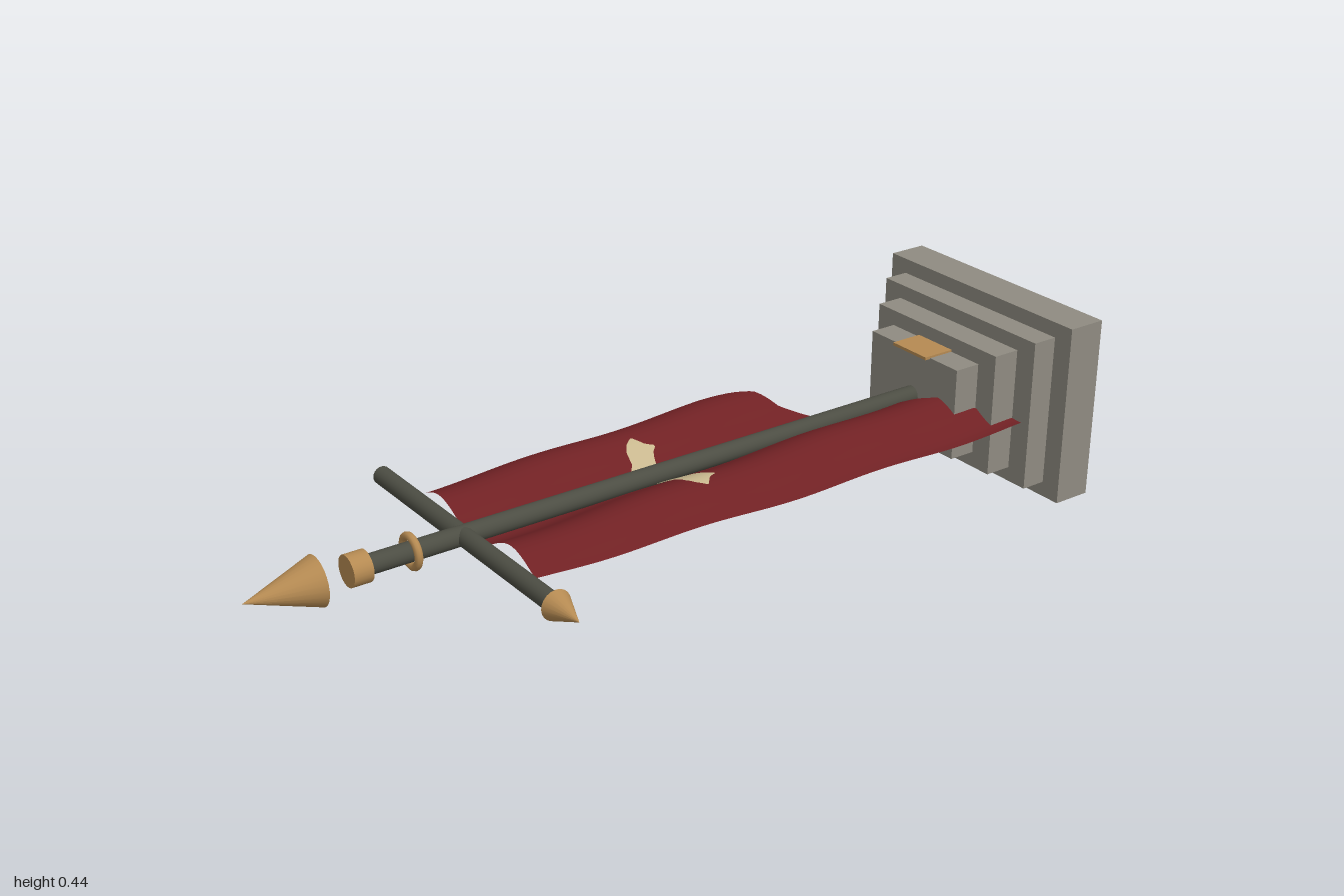
import * as THREE from 'three';

const CX = -0.047, CY = 0.22; // axis of the pole

const mat = (name, color, side = THREE.FrontSide) => {
  const m = new THREE.MeshStandardMaterial({ color, side });
  m.name = name;
  return m;
};

// height of the waving cloth
const clothY = (x, z) =>
  CY + 0.026 * Math.sin(21.7 * (x + 0.3) - 0.21 - 1.1 * z) + 0.004 * Math.sin(13 * z + 4 * x);

// linear interpolation through [x, value] points
function along(points, x) {
  for (let i = 1; i < points.length; i++) {
    const [x0, v0] = points[i - 1], [x1, v1] = points[i];
    if (x <= x1) return v0 + (v1 - v0) * (x - x0) / (x1 - x0);
  }
  return points[points.length - 1][1];
}

// sheet of cloth between a back and a front edge, both given per x
function clothPatch(x0, x1, back, front, nx, nz, lift = 0) {
  const g = new THREE.PlaneGeometry(1, 1, nx, nz);
  const p = g.attributes.position;
  for (let i = 0; i < p.count; i++) {
    const x = x0 + (x1 - x0) * (p.getX(i) + 0.5);
    const z = THREE.MathUtils.lerp(back(x), front(x), 0.5 - p.getY(i));
    p.setXYZ(i, x, clothY(x, z) + lift, z);
  }
  g.computeVertexNormals();
  return g;
}

export function createModel() {
  const root = new THREE.Group();
  root.name = 'bannerStandard';
  const stone = mat('stone', 0x8f8b81);
  const gold = mat('gold', 0xb58a52);
  const iron = mat('darkIron', 0x4c4d43);
  const red = mat('redCloth', 0x702124, THREE.DoubleSide);
  const cream = mat('creamEmblem', 0xc8b78e, THREE.DoubleSide);

  const add = (name, geometry, material, x = 0, y = 0, z = 0) => {
    const m = new THREE.Mesh(geometry, material);
    m.name = name;
    m.position.set(x, y, z);
    root.add(m);
    return m;
  };

  // stepped base: width, height, back z, front z
  [
    [0.613, 0.438, -1, -0.905],
    [0.513, 0.366, -0.905, -0.843],
    [0.404, 0.297, -0.843, -0.776],
    [0.295, 0.223, -0.776, -0.71],
  ].forEach(([w, h, z0, z1], i) =>
    add('baseStep' + (i + 1), new THREE.BoxGeometry(w, h, z1 - z0), stone, CX, CY, (z0 + z1) / 2));
  add('basePlate', new THREE.BoxGeometry(0.113, 0.007, 0.083), gold, CX, 0.333, -0.737);

  // pole and its fittings, all along z
  const rod = (name, r0, r1, z0, z1, material) =>
    add(name, new THREE.CylinderGeometry(r1, r0, z1 - z0, 24).rotateX(Math.PI / 2),
      material, CX, CY, (z0 + z1) / 2);
  rod('pole', 0.022, 0.022, -0.72, 0.74, iron);
  rod('poleCollar', 0.035, 0.035, 0.731, 0.775, gold);
  rod('poleTip', 0.055, 0, 0.84, 1, gold);
  add('poleRing', new THREE.TorusGeometry(0.033, 0.009, 10, 28), gold, CX, CY, 0.63);

  // crossbar with its pointed end
  add('crossbar', new THREE.CylinderGeometry(0.021, 0.021, 0.688, 20).rotateZ(-Math.PI / 2),
    iron, -0.047, CY, 0.51);
  add('crossbarTip', new THREE.ConeGeometry(0.034, 0.082, 20).rotateZ(-Math.PI / 2),
    gold, 0.349, CY, 0.51);

  // banner with a torn, slanting back edge
  const torn = [
    [-0.28, -0.26], [-0.255, -0.33], [-0.23, -0.38], [-0.17, -0.41], [-0.12, -0.48], [-0.085, -0.57],
    [-0.06, -0.645], [-0.01, -0.655], [0.03, -0.69], [0.06, -0.74], [0.1, -0.77], [0.15, -0.84], [0.185, -0.85],
  ];
  add('banner', clothPatch(-0.28, 0.185, x => along(torn, x), () => 0.48, 60, 60), red);

  // winged emblem on both faces of the cloth, edges by distance from the middle
  const wingBack = [
    [0.015, 0.0], [0.03, -0.018], [0.06, -0.02], [0.085, -0.03], [0.1, -0.038], [0.113, -0.053], [0.122, -0.03], [0.145, -0.01],
  ];
  const wingFront = [
    [0.015, 0.02], [0.03, 0.045], [0.045, 0.052], [0.065, 0.046], [0.08, 0.033], [0.11, 0.027], [0.13, 0.014], [0.145, -0.006],
  ];
  for (const s of [1, -1]) {
    for (const lift of [0.003, -0.003]) {
      const a = CX + s * 0.015, b = CX + s * 0.145;
      add((s > 0 ? 'left' : 'right') + 'Wing' + (lift > 0 ? 'Top' : 'Under'),
        clothPatch(Math.min(a, b), Math.max(a, b),
          x => along(wingBack, Math.abs(x - CX)), x => along(wingFront, Math.abs(x - CX)), 30, 6, lift),
        cream);
    }
  }
  return root;
}
